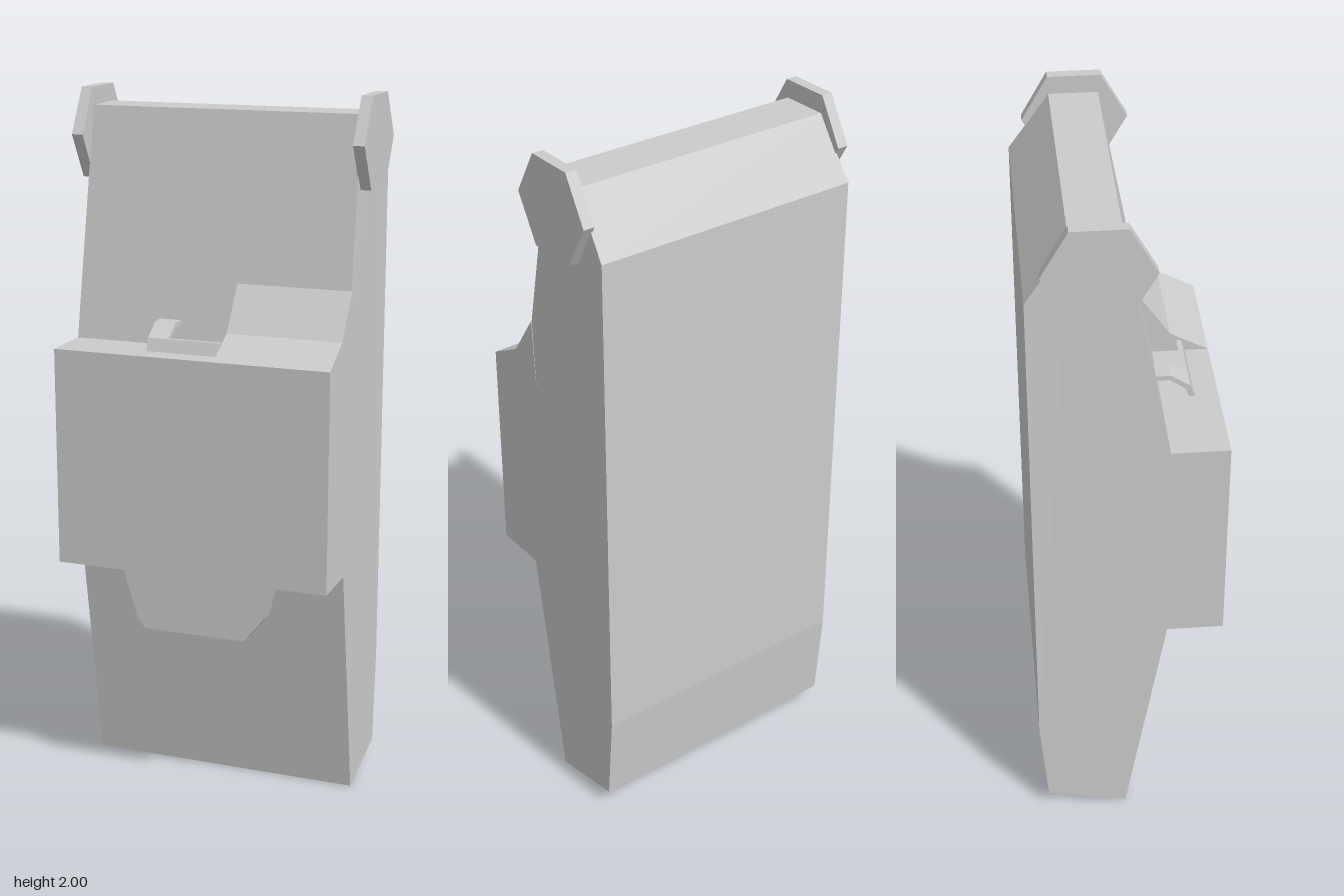
import * as THREE from 'three';

const material = new THREE.MeshStandardMaterial({ color: 0xcccccc, flatShading: true });

const toShape = (points) => new THREE.Shape(points.map(([a, b]) => new THREE.Vector2(a, b)));

// Side profile of [z, y] points swept across from x0 to x1
function sweepX(points, x0, x1) {
  const geo = new THREE.ExtrudeGeometry(toShape(points), { depth: x1 - x0, bevelEnabled: false });
  return geo.rotateY(-Math.PI / 2).translate(x1, 0, 0);
}

export function createModel() {
  const group = new THREE.Group();
  const add = (name, geometry) => {
    const mesh = new THREE.Mesh(geometry, material);
    mesh.name = name;
    group.add(mesh);
    return mesh;
  };
  const half = 0.397;

  // Main body with the raised front box, slightly narrower along the top edge
  const body = sweepX([
    [-0.01, 0], [-0.24, 0.05], [-0.262, 0.32], [-0.262, 1.79], [-0.15, 1.95],
    [-0.015, 1.95], [0.105, 1.31], [0.262, 1.31], [0.262, 0.69], [0.105, 0.69],
  ], -half, half);
  const pos = body.attributes.position;
  for (let i = 0; i < pos.count; i++) {
    if (pos.getY(i) > 1.9) pos.setX(i, pos.getX(i) * 0.98);
  }
  body.computeVertexNormals();
  add('body', body);

  // Sloped fairing on one half of the front box
  add('fairing', sweepX([[0.071, 1.49], [0.06, 1.3], [0.262, 1.3], [0.262, 1.31], [0.155, 1.367]], 0.07, half));

  // Tapered block below the front box
  const block = toShape([
    [-0.217, 0.692], [-0.172, 0.54], [-0.15, 0.51], [0.15, 0.51], [0.172, 0.54], [0.217, 0.692],
  ]);
  add('lowerBlock', new THREE.ExtrudeGeometry(block, { depth: 0.18, bevelEnabled: false }).translate(0, 0, 0.05));

  // Clip on the shelf: a low bar with two arms curling back
  add('clipBar', sweepX([[0.2, 1.305], [0.185, 1.345], [0.172, 1.345], [0.185, 1.305]], -0.149, 0.165));
  const arm = [
    [0.2, 1.305], [0.185, 1.345], [0.132, 1.38], [0.09, 1.38],
    [0.09, 1.366], [0.128, 1.366], [0.172, 1.336], [0.185, 1.305],
  ];
  for (const [x0, x1] of [[-0.149, -0.088], [0.121, 0.165]]) add('clipArm', sweepX(arm, x0, x1));

  // Hexagonal hinge caps at the top corners
  for (const side of [-1, 1]) {
    const cap = add(side > 0 ? 'leftHingeCap' : 'rightHingeCap',
      new THREE.CylinderGeometry(0.1443, 0.1443, 0.032, 6).rotateZ(Math.PI / 2));
    cap.position.set(side * 0.405, 1.875, -0.08);
  }
  return group;
}
